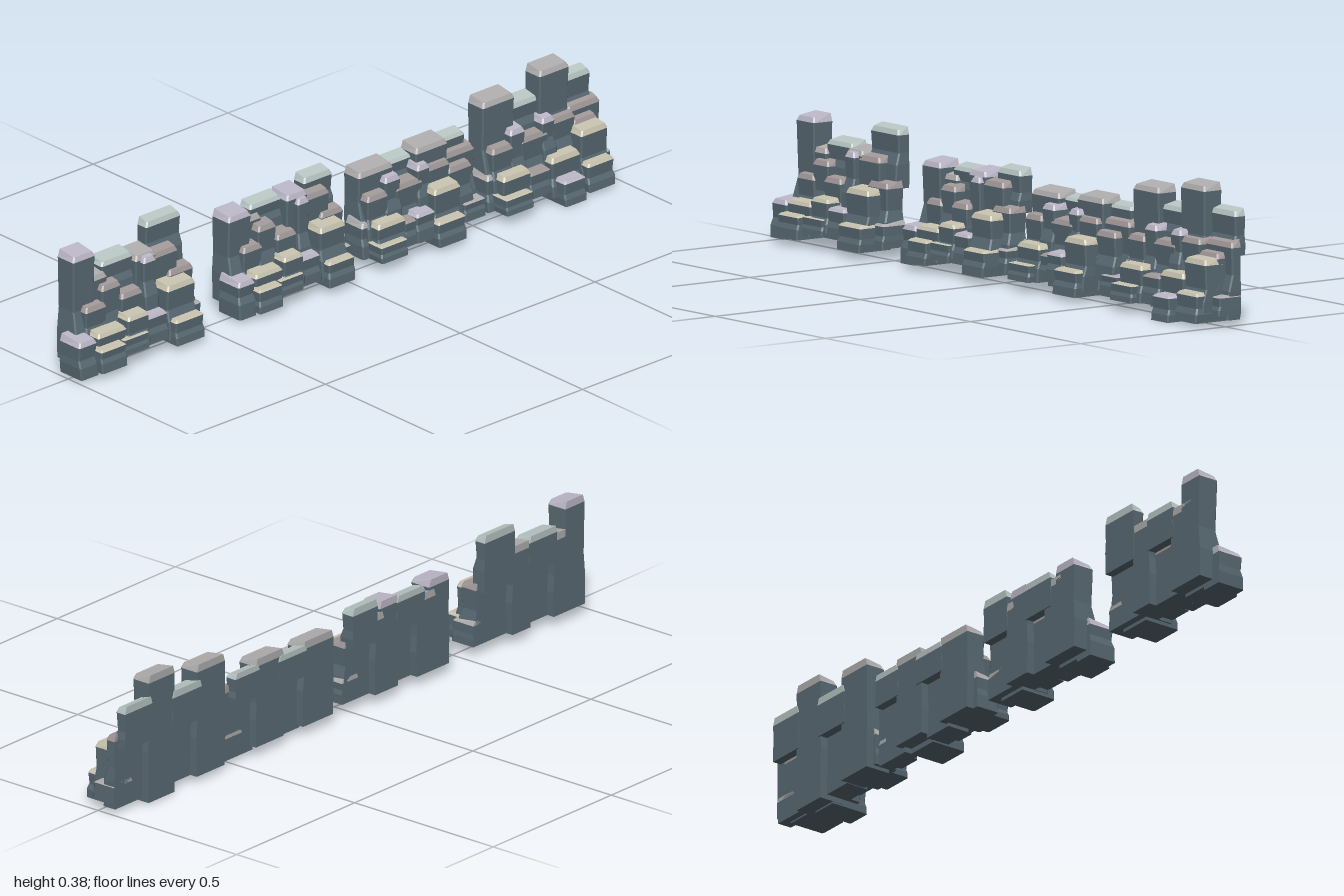
import * as THREE from 'three';

const paint = (color) => new THREE.MeshStandardMaterial({ color, flatShading: true });
const stone = paint(0x5a6b75);
const tints = {
  lav: paint(0xbdb8c8), sand: paint(0xc9c4b0), teal: paint(0xb8c6c4),
  grey: paint(0xb0aeae), rose: paint(0xa39a9a),
};

// Small seeded generator for the uneven waist of each block
let seed = 7;
const rnd = () => (seed = (seed * 16807) % 2147483647) / 2147483647;

// Horizontal outline with cut front corners, counter-clockwise from above
function ring(x0, x1, y, zb, zf, rise = 0) {
  const c = 0.004;
  return [[x0, y, zf - c], [x0 + c, y, zf], [x1 - c, y, zf],
    [x1, y, zf - c], [x1, y + rise, zb], [x0, y + rise, zb]];
}

// Skin a stack of outlines and optionally close its ends
function loft(rings, closeBottom, closeTop) {
  const p = [];
  const tri = (a, b, c) => p.push(...a, ...b, ...c);
  const n = rings[0].length;
  for (let r = 0; r < rings.length - 1; r++) {
    for (let i = 0; i < n; i++) {
      const j = (i + 1) % n, a = rings[r], b = rings[r + 1];
      tri(a[i], a[j], b[j]);
      tri(a[i], b[j], b[i]);
    }
  }
  const last = rings[rings.length - 1];
  for (let i = 1; i < n - 1; i++) {
    if (closeBottom) tri(rings[0][0], rings[0][i + 1], rings[0][i]);
    if (closeTop) tri(last[0], last[i], last[i + 1]);
  }
  const g = new THREE.BufferGeometry();
  g.setAttribute('position', new THREE.Float32BufferAttribute(p, 3));
  g.computeVertexNormals();
  return g;
}

// One chiselled block: leaning, waisted slate body with a pale bevelled cap
function block(x0, x1, y0, y1, zb, zf, tint) {
  const group = new THREE.Group();
  group.name = 'rockBlock';
  const h = y1 - y0, d = Math.min(0.007, h * 0.05), lean = h * 0.06;
  const cut = 0.4 + rnd() * 0.2, left = d * rnd(), right = d * rnd();
  const ys = y1 - Math.min(0.022, h * 0.18);
  const at = (t) => y0 + (ys - y0) * t;
  const shoulder = ring(x0 + left * 0.4, x1 - right * 0.4, ys, zb, zf);
  const body = new THREE.Mesh(loft([
    ring(x0 + right * 0.5, x1 - left * 0.5, y0, zb, zf + lean),
    ring(x0, x1, at(cut - 0.12), zb, zf + lean * 0.7),
    ring(x0 + left, x1 - right, at(cut + 0.1), zb, zf - d * 0.5),
    shoulder,
  ], true, false), stone);
  body.name = 'blockBody';
  const cap = new THREE.Mesh(loft([
    shoulder,
    ring(x0 + left * 0.4 + 0.007, x1 - right * 0.4 - 0.007, y1 - 0.008, zb, zf - 0.005, 0.008),
  ], false, true), tints[tint]);
  cap.name = 'blockCap';
  group.add(body, cap);
  return group;
}

// Rows: x from, x to (from the section's left end), bottom, top, front z, cap tint
const sections = [
  { name: 'wallSectionFarRight', x: -1, sx: 1,
    back: [
      [0.03, 0.115, 0.03, 0.355, -0.015, 'lav'], [0.06, 0.165, 0.03, 0.275, -0.02, 'grey'],
      [0.15, 0.27, 0.19, 0.30, -0.03, 'teal'], [0.26, 0.34, 0.03, 0.29, -0.012, 'grey'],
      [0.33, 0.46, 0.19, 0.36, -0.045, 'teal'],
    ] },
  { name: 'wallSectionRight', x: -0.41, sx: 0.93,
    back: [
      [0.015, 0.102, 0.03, 0.30, -0.012, 'lav'], [0.07, 0.155, 0.03, 0.27, -0.03, 'grey'],
      [0.12, 0.24, 0.19, 0.295, -0.04, 'teal'], [0.23, 0.31, 0.03, 0.30, -0.01, 'lav'],
      [0.29, 0.33, 0.03, 0.27, -0.03, 'grey'], [0.32, 0.428, 0.19, 0.315, -0.04, 'teal'],
    ] },
  { name: 'wallSectionLeft', x: 0.08, sx: 1,
    back: [
      [0.015, 0.145, 0.03, 0.28, -0.018, 'grey'], [0.13, 0.25, 0.18, 0.27, -0.04, 'teal'],
      [0.225, 0.345, 0.03, 0.29, -0.016, 'grey'], [0.33, 0.435, 0.18, 0.275, -0.045, 'teal'],
    ] },
  { name: 'wallSectionFarLeft', x: 0.545, sx: 1,
    back: [
      [0.01, 0.13, 0.02, 0.35, -0.018, 'grey'], [0.11, 0.235, 0.19, 0.305, -0.035, 'teal'],
      [0.222, 0.335, 0.005, 0.38, -0.02, 'grey'], [0.32, 0.438, 0.19, 0.32, -0.048, 'teal'],
    ] },
];

// Stepped facing shared by the two sections on the right
const facingA = [
  [0.06, 0.14, 0.05, 0.20, 0.005, 'rose'], [0.125, 0.2, 0.03, 0.245, 0.0, 'rose'],
  [0.19, 0.27, 0.03, 0.205, 0.01, 'rose'], [0.275, 0.325, 0.08, 0.285, 0.005, 'lav'],
  [0.32, 0.42, 0.03, 0.28, -0.01, 'rose'], [0.375, 0.468, 0.05, 0.215, 0.0, 'rose'],
  [0.40, 0.477, 0.03, 0.105, 0.02, 'grey'], [0, 0.07, 0.01, 0.125, 0.045, 'lav'],
  [0.07, 0.18, 0.03, 0.13, 0.045, 'sand'], [0.18, 0.26, 0.05, 0.15, 0.048, 'sand'],
  [0.33, 0.435, 0.03, 0.195, 0.042, 'sand'], [0.06, 0.155, 0.02, 0.095, 0.07, 'sand'],
  [0.155, 0.25, 0.04, 0.095, 0.058, 'sand'], [0.25, 0.33, 0.04, 0.13, 0.045, 'lav'],
  [0.335, 0.44, 0.02, 0.10, 0.072, 'sand'],
];
// Stepped facing shared by the two sections on the left
const facingB = [
  [0.0, 0.07, 0.03, 0.14, 0.01, 'grey'], [0.02, 0.1, 0.08, 0.215, 0.01, 'rose'],
  [0.09, 0.15, 0.08, 0.25, 0.005, 'lav'], [0.13, 0.235, 0.02, 0.215, 0.005, 'rose'],
  [0.21, 0.26, 0.08, 0.25, 0.005, 'lav'], [0.25, 0.34, 0.08, 0.235, 0.0, 'rose'],
  [0.33, 0.42, 0.06, 0.205, 0.0, 'rose'], [0.375, 0.453, 0.03, 0.09, 0.018, 'grey'],
  [0.33, 0.452, 0.015, 0.237, -0.025, 'rose'],
  [0.03, 0.135, 0.03, 0.14, 0.045, 'sand'], [0.02, 0.12, 0.03, 0.085, 0.068, 'sand'],
  [0.13, 0.21, 0.04, 0.12, 0.042, 'rose'],
];
const ends = {
  wallSectionLeft: [
    [0.24, 0.34, 0.03, 0.18, 0.042, 'sand'], [0.23, 0.335, 0.015, 0.095, 0.07, 'sand'],
    [0.17, 0.24, 0.04, 0.13, 0.048, 'lav'],
  ],
  wallSectionFarLeft: [
    [0.32, 0.42, 0.01, 0.19, 0.042, 'sand'], [0.32, 0.42, 0.01, 0.10, 0.07, 'sand'],
    [0.21, 0.32, 0.02, 0.14, 0.042, 'sand'], [0.225, 0.305, 0.0, 0.08, 0.08, 'lav'],
  ],
};

export function createModel() {
  const model = new THREE.Group();
  model.name = 'rockWallSet';
  sections.forEach((s, k) => {
    const wall = new THREE.Group();
    wall.name = s.name;
    // Tall columns, and crest slabs that overhang the recess behind them
    s.back.forEach(([a, b, y0, y1, zf, tint]) =>
      wall.add(block(a, b, y0, y1, y0 > 0.1 ? -0.082 : -0.079, zf, tint)));
    // Lower blocks stepping forward
    const facing = k < 2 ? facingA : [...facingB, ...ends[s.name]];
    facing.forEach(([a, b, y0, y1, zf, tint]) =>
      wall.add(block(a * s.sx, b * s.sx, y0, y1, zf > 0.04 ? -0.035 : -0.056, zf, tint)));
    wall.position.x = s.x;
    model.add(wall);
  });
  return model;
}
